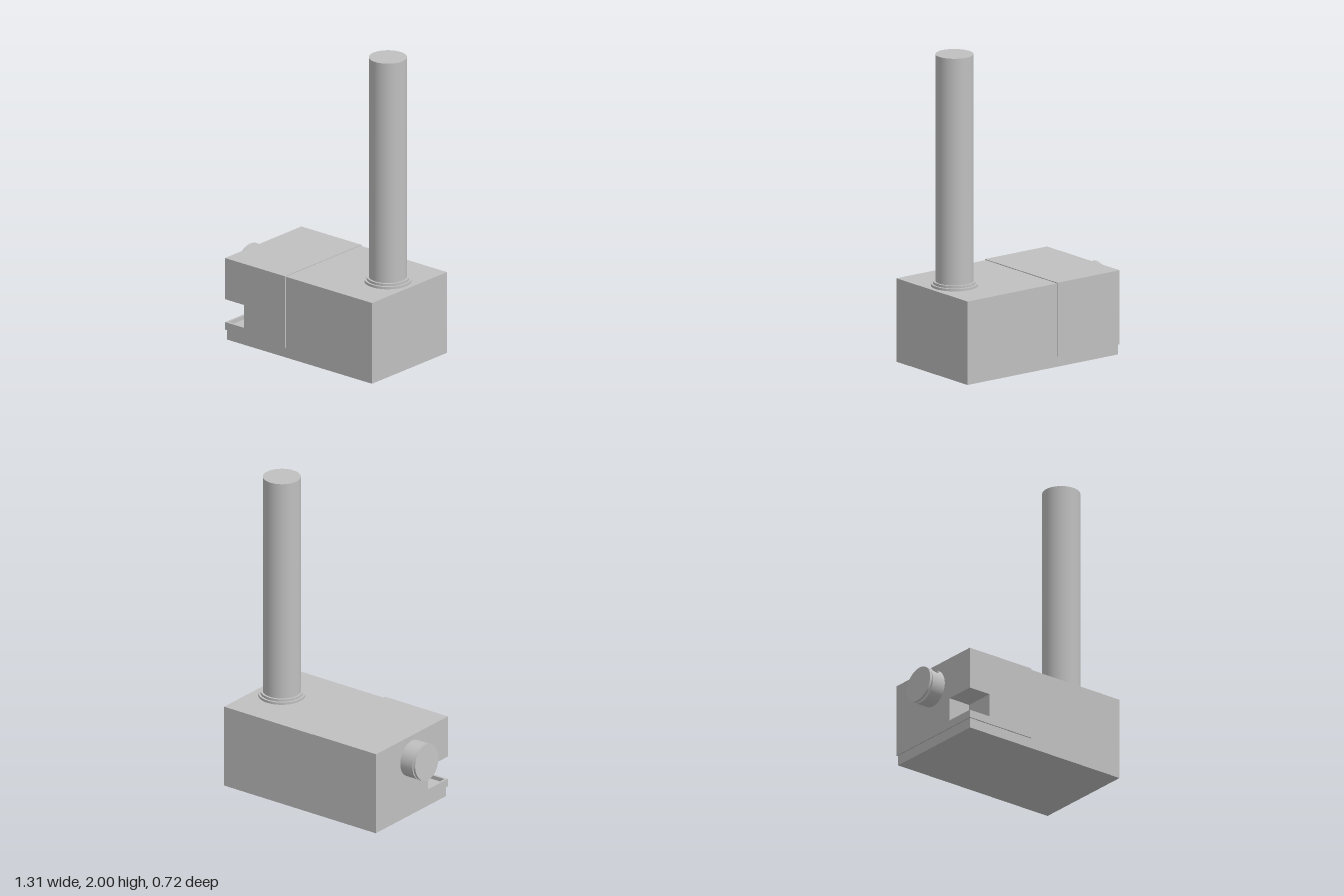
import * as THREE from 'three';
import { ParametricGeometry } from 'three/addons/geometries/ParametricGeometry.js';

const grey = new THREE.MeshStandardMaterial({ color: 0xc0c0c0, side: THREE.DoubleSide });
grey.name = 'light grey';

function add(parent, name, geometry) {
  const mesh = new THREE.Mesh(geometry, grey);
  mesh.name = name;
  parent.add(mesh);
  return mesh;
}

// Box given by its limits on each axis
function box(parent, name, x0, x1, y0, y1, z0, z1) {
  const g = new THREE.BoxGeometry(x1 - x0, y1 - y0, z1 - z0);
  g.translate((x0 + x1) / 2, (y0 + y1) / 2, (z0 + z1) / 2);
  return add(parent, name, g);
}

function createHousing() {
  const housing = new THREE.Group();
  housing.name = 'housing';
  box(housing, 'base', -0.522, 0.653, 0, 0.065, -0.354, 0.352);
  box(housing, 'mainBody', -0.045, 0.653, 0.065, 0.53, -0.354, 0.352);
  return housing;
}

// Slightly oversized end cover with an open notch in its front corner
function createCover() {
  const cover = new THREE.Group();
  cover.name = 'endCover';
  const x0 = -0.53, x1 = -0.045, z = 0.36, nx = -0.375, nz = 0.16, t = 0.015;
  box(cover, 'coverTop', x0, x1, 0.265, 0.535, -z, z);
  const outline = new THREE.Shape([
    [x0, z], [x1, z], [x1, -z], [nx, -z], [nx, -nz], [x0, -nz],
  ].map(([x, y]) => new THREE.Vector2(x, y)));
  const lower = new THREE.ExtrudeGeometry(outline, { depth: 0.2, bevelEnabled: false });
  lower.rotateX(-Math.PI / 2).translate(0, 0.065, 0);
  add(cover, 'coverLower', lower);
  // Floor and raised lips of the notch
  box(cover, 'notchFloor', x0 + t, nx, 0.065, 0.09, nz, z - t);
  box(cover, 'notchFrontLip', x0, nx, 0.065, 0.115, z - t, z);
  box(cover, 'notchSideLip', x0, x0 + t, 0.065, 0.115, nz, z - t);
  return cover;
}

// Upright pipe on a stepped collar
function createPipe() {
  const pipe = new THREE.Group();
  pipe.name = 'pipe';
  for (const [name, r, y0, y1] of [
    ['collarLower', 0.145, 0.53, 0.545],
    ['collarUpper', 0.131, 0.545, 0.56],
    ['pipeShaft', 0.117, 0.56, 2],
  ]) {
    const g = new THREE.CylinderGeometry(r, r, y1 - y0, 64);
    add(pipe, name, g.translate(0, (y0 + y1) / 2, 0));
  }
  pipe.position.set(0.478, 0, -0.001);
  return pipe;
}

// Short socket: axis along x, with a drilled hole facing up and forward
function createSocket() {
  const socket = new THREE.Group();
  socket.name = 'socket';
  const R = 0.116, half = 0.0475, patch = 0.42, hole = 0.024, depth = 0.05;

  // Drilled part is built with the hole pointing along +y, then turned
  const drilled = new THREE.Group();
  drilled.name = 'socketBarrel';
  drilled.rotation.x = Math.PI / 4;
  socket.add(drilled);

  // Barrel wall apart from the patch around the hole
  const wall = new THREE.CylinderGeometry(R, R, half * 2, 56, 1, true, patch, Math.PI * 2 - 2 * patch);
  wall.rotateZ(Math.PI / 2).rotateX(0);
  // Turn the gap from its start direction (+z) up to +y
  wall.rotateX(-Math.PI / 2);
  add(drilled, 'barrelWall', wall);

  // Patch from the round hole out to the rectangular gap, wrapped on the barrel
  const surround = (u, v, out) => {
    const a = u * Math.PI * 2, c = Math.cos(a), s = Math.sin(a);
    const k = 1 / Math.max(Math.abs(c), Math.abs(s));
    const x = THREE.MathUtils.lerp(hole * c, half * k * c, v);
    const angle = THREE.MathUtils.lerp(Math.asin(hole * s / R), patch * k * s, v);
    out.set(x, R * Math.cos(angle), R * Math.sin(angle));
  };
  add(drilled, 'holeSurround', new ParametricGeometry(surround, 40, 5));

  const bore = (u, v, out) => {
    const a = u * Math.PI * 2, z = hole * Math.sin(a);
    out.set(hole * Math.cos(a), THREE.MathUtils.lerp(Math.sqrt(R * R - z * z), R - depth, v), z);
  };
  add(drilled, 'holeBore', new ParametricGeometry(bore, 40, 1));
  const floor = new THREE.CircleGeometry(hole, 40).rotateX(-Math.PI / 2);
  add(drilled, 'holeFloor', floor.translate(0, R - depth, 0));

  // Flat outer end of the barrel
  const end = new THREE.CircleGeometry(R, 64).rotateY(-Math.PI / 2);
  add(socket, 'barrelEnd', end.translate(-half, 0, 0));

  // Tilted flap closing the end, open at the bottom
  const flap = new THREE.CylinderGeometry(R, R, 0.015, 64).rotateZ(Math.PI / 2);
  const flapMesh = add(socket, 'endFlap', flap);
  flapMesh.position.x = -0.061;
  flapMesh.rotation.z = -0.09;

  socket.position.set(-0.5775, 0.385, -0.002);
  return socket;
}

export function createModel() {
  const model = new THREE.Group();
  model.name = 'pipeUnit';
  model.add(createHousing(), createCover(), createPipe(), createSocket());
  return model;
}
